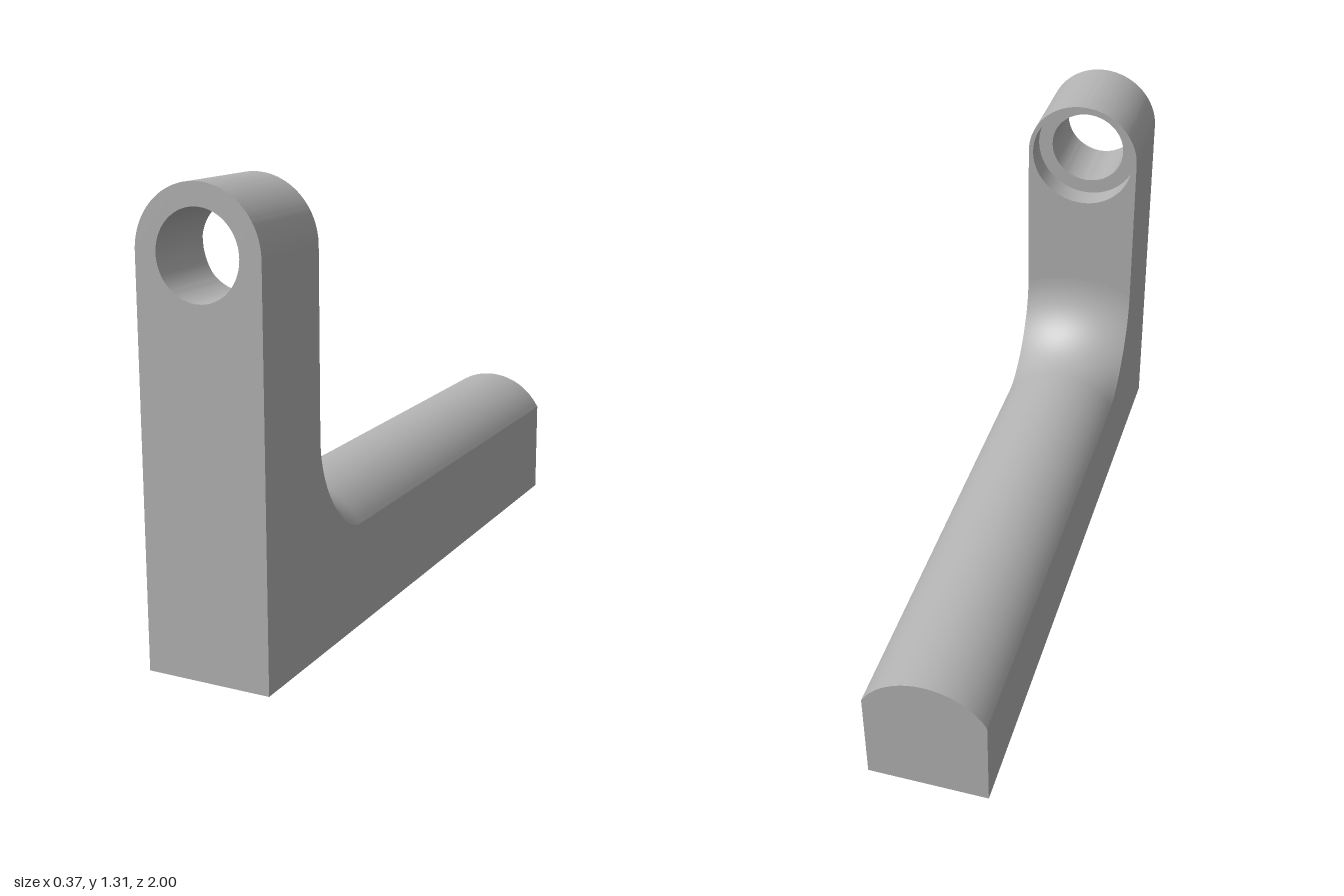
import * as THREE from 'three';
import { toCreasedNormals } from 'three/addons/utils/BufferGeometryUtils.js';

const HALF = 0.183;        // half width of the bracket
const WALL = 0.71;         // back face of the upright
const HOLE_Y = 1.128;      // height of the bore axis
const CROWN_R = 0.209;     // radius of the arm's rounded top
const CROWN_Y = 0.204;     // axis height of that rounding
const FILLET = 0.24;       // fillet between arm and upright

// Round-topped plate with a circular hole, from z0 to z1
function uprightSlice(z0, z1, holeRadius) {
  const shape = new THREE.Shape();
  shape.moveTo(-HALF, 0);
  shape.lineTo(HALF, 0);
  shape.lineTo(HALF, HOLE_Y);
  shape.absarc(0, HOLE_Y, HALF, 0, Math.PI, false);
  shape.closePath();
  const hole = new THREE.Path();
  hole.absarc(0, HOLE_Y, holeRadius, 0, Math.PI * 2, true);
  shape.holes.push(hole);
  const geo = new THREE.ExtrudeGeometry(shape, { depth: z1 - z0, bevelEnabled: false, curveSegments: 40 });
  geo.translate(0, 0, z0);
  return toCreasedNormals(geo, 0.4);
}

// Arm with a crowned top, sweeping up in a fillet where it meets the upright
function armGeometry() {
  const across = 28, steps = 20;
  const stations = [[-1, CROWN_R]];
  for (let i = 0; i <= steps; i++) {
    const t = (i / steps) * Math.PI / 2;
    stations.push([WALL - FILLET + FILLET * Math.sin(t), CROWN_R + FILLET * (1 - Math.cos(t))]);
  }
  const positions = [], indices = [];
  const n = across + 3;
  const edgeAngle = Math.asin(HALF / CROWN_R);
  for (const [z, r] of stations) {
    for (let i = 0; i <= across; i++) {
      const x = CROWN_R * Math.sin(edgeAngle * (1 - 2 * i / across));
      positions.push(x, CROWN_Y + Math.sqrt(r * r - x * x), z);
    }
    positions.push(-HALF, 0, z, HALF, 0, z);
  }
  for (let s = 0; s < stations.length - 1; s++) {
    for (let i = 0; i < n; i++) {
      const a = s * n + i, b = s * n + (i + 1) % n;
      indices.push(a, b, a + n, b, b + n, a + n);
    }
  }
  // Back end cap
  for (let i = 1; i < n - 1; i++) indices.push(0, i + 1, i);
  const geo = new THREE.BufferGeometry();
  geo.setAttribute('position', new THREE.Float32BufferAttribute(positions, 3));
  geo.setIndex(indices);
  return toCreasedNormals(geo, 0.4);
}

export function createModel() {
  const grey = new THREE.MeshStandardMaterial({ color: 0xb3b3b3 });
  grey.name = 'grey';
  const group = new THREE.Group();
  group.name = 'bracket';
  const add = (name, geo) => {
    const mesh = new THREE.Mesh(geo, grey);
    mesh.name = name;
    group.add(mesh);
  };
  const ledge = WALL + 0.075; // floor of the counterbore
  add('uprightFront', uprightSlice(ledge, 1, 0.121));
  add('uprightCounterbore', uprightSlice(WALL, ledge, 0.168));
  add('arm', armGeometry());
  return group;
}
